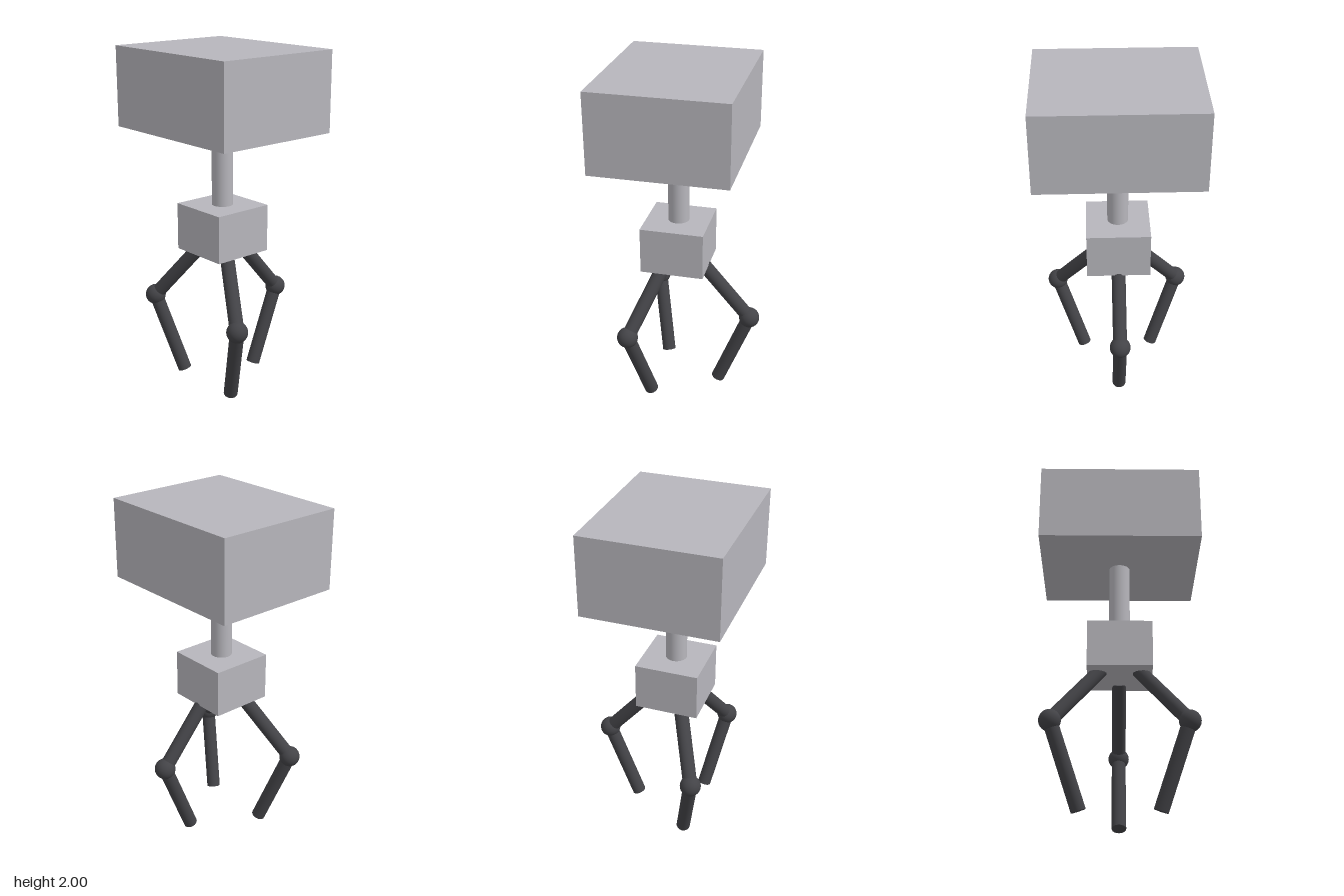
import * as THREE from 'three';

export function createModel() {
  const model = new THREE.Group();
  model.name = 'tripodRobot';
  const grey = new THREE.MeshStandardMaterial({ color: 0xb7b6bc });
  grey.name = 'light grey';
  const dark = new THREE.MeshStandardMaterial({ color: 0x434347 });
  dark.name = 'charcoal';

  const add = (parent, name, geometry, material, x, y, z) => {
    const mesh = new THREE.Mesh(geometry, material);
    mesh.name = name;
    mesh.position.set(x, y, z);
    parent.add(mesh);
    return mesh;
  };

  // Cylinder between two points
  const rod = (parent, name, from, to, radius) => {
    const dir = to.clone().sub(from);
    const mid = from.clone().add(to).multiplyScalar(0.5);
    const mesh = add(parent, name, new THREE.CylinderGeometry(radius, radius, dir.length(), 32), dark, mid.x, mid.y, mid.z);
    mesh.quaternion.setFromUnitVectors(new THREE.Vector3(0, 1, 0), dir.normalize());
  };

  // Head, neck and body share one vertical axis
  const axisZ = 0.055;
  add(model, 'head', new THREE.BoxGeometry(0.928, 0.46, 0.773), grey, 0, 1.77, axisZ);
  add(model, 'neck', new THREE.CylinderGeometry(0.061, 0.061, 0.46, 32), grey, 0, 1.32, axisZ);
  add(model, 'body', new THREE.BoxGeometry(0.37, 0.276, 0.37), grey, 0, 0.964, axisZ);

  // Three jointed legs, 120 degrees apart: one at the back, two in front
  const hip = new THREE.Vector3(0, 0.845, -0.125);
  const knee = new THREE.Vector3(0, 0.485, -0.435);
  const foot = new THREE.Vector3(0, 0.015, -0.25);
  ['backLeg', 'leftFrontLeg', 'rightFrontLeg'].forEach((name, i) => {
    const leg = new THREE.Group();
    leg.name = name;
    leg.position.z = axisZ;
    leg.rotation.y = [0, -1, 1][i] * Math.PI * 2 / 3;
    rod(leg, 'upperLeg', hip, knee, 0.041);
    rod(leg, 'lowerLeg', knee, foot, 0.041);
    add(leg, 'kneeJoint', new THREE.SphereGeometry(0.061, 32, 20), dark, knee.x, knee.y, knee.z);
    model.add(leg);
  });
  return model;
}
